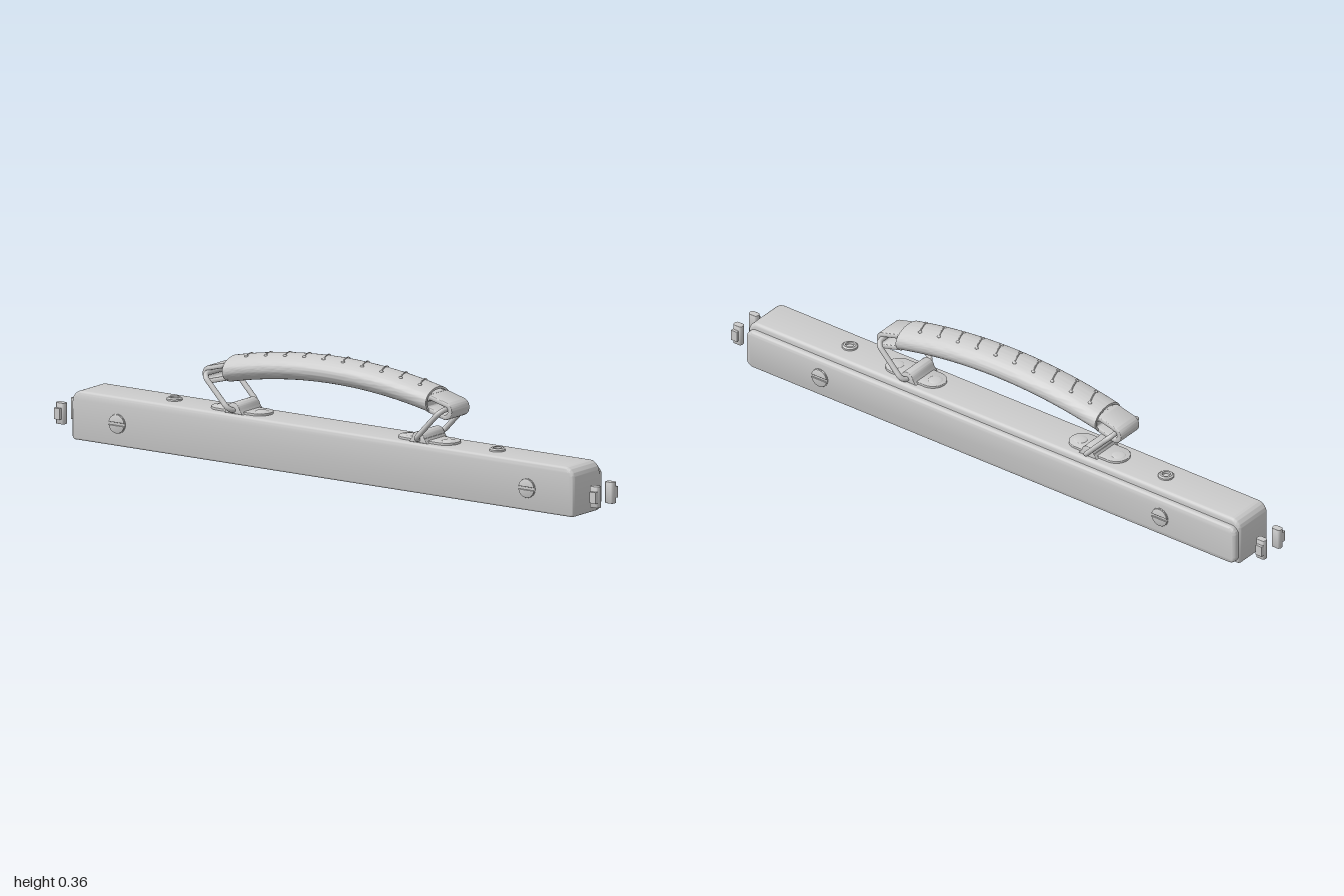
import * as THREE from 'three';
import { toCreasedNormals } from 'three/addons/utils/BufferGeometryUtils.js';

const mat = new THREE.MeshStandardMaterial({ color: 0xcccccc, side: THREE.DoubleSide });

function add(parent, name, geo, x = 0, y = 0, z = 0) {
  const m = new THREE.Mesh(geo, mat);
  m.name = name;
  m.position.set(x, y, z);
  parent.add(m);
  return m;
}

// Rounded rectangle centred on the origin, with separate top and bottom radii
function roundRect(w, h, rt, rb = rt, Type = THREE.Shape) {
  const s = new Type(), a = w / 2, b = h / 2;
  s.moveTo(-a + rb, -b).lineTo(a - rb, -b);
  s.absarc(a - rb, -b + rb, rb, -Math.PI / 2, 0);
  s.absarc(a - rt, b - rt, rt, 0, Math.PI / 2);
  s.absarc(-a + rt, b - rt, rt, Math.PI / 2, Math.PI);
  s.absarc(-a + rb, -b + rb, rb, Math.PI, Math.PI * 1.5);
  return s;
}

// Extrusion centred in depth; the bevel stays inside the given depth and outline
function slab(shape, depth, bevel = 0) {
  const geo = new THREE.ExtrudeGeometry(shape, {
    depth: depth - 2 * bevel, curveSegments: 12, bevelEnabled: bevel > 0,
    bevelThickness: bevel, bevelSize: bevel, bevelOffset: -bevel, bevelSegments: 4,
  });
  geo.translate(0, 0, bevel - depth / 2);
  return toCreasedNormals(geo, 0.6);
}

// Drop the flat underside so that the part becomes an open shell
function openBottom(geo) {
  geo.computeBoundingBox();
  const p = geo.attributes.position, limit = geo.boundingBox.min.y + 0.0005;
  const keep = [];
  for (let i = 0; i < p.count; i += 3) {
    if (Math.max(p.getY(i), p.getY(i + 1), p.getY(i + 2)) > limit) keep.push(i, i + 1, i + 2);
  }
  geo.setIndex(keep);
  return geo;
}

// Bend a part that runs along x into the arch of the handle
const archY = (x) => 0.32 - 0.3 * x * x;
function arch(geo) {
  const p = geo.attributes.position;
  for (let i = 0; i < p.count; i++) p.setY(i, p.getY(i) + archY(p.getX(i)));
  geo.computeVertexNormals();
  return toCreasedNormals(geo, 0.6);
}

// Slotted screw head facing +z
function screw() {
  const g = new THREE.Group();
  g.name = 'slottedScrew';
  add(g, 'screwBase', new THREE.CylinderGeometry(0.03, 0.03, 0.004, 32).rotateX(Math.PI / 2));
  const half = new THREE.Shape();
  half.absarc(0, 0, 0.029, 0.15, Math.PI - 0.15);
  half.closePath();
  for (const turn of [0, Math.PI]) {
    add(g, 'screwHeadHalf', slab(half, 0.008, 0.0015).rotateZ(turn), 0, 0, 0.002);
  }
  return g;
}

function createBody(root) {
  // Hollow case, open underneath
  const shell = slab(roundRect(1.85, 0.152, 0.035, 0.012), 0.14, 0.011);
  add(root, 'body', openBottom(shell), 0, 0.076, 0);
  add(root, 'backCover', slab(roundRect(1.84, 0.126, 0.025), 0.035, 0.01), 0, 0.068, -0.0705);
  for (const s of [-1, 1]) {
    const front = screw();
    front.position.set(s * 0.755, 0.07, 0.07);
    const back = screw();
    back.position.set(s * 0.64, 0.07, -0.088);
    back.rotation.y = Math.PI;
    root.add(front, back);
  }
}

// Everything that repeats at each end, built for the +x end
function createEnd() {
  const g = new THREE.Group();
  // Socketed button on the top
  const profile = [[0, 0.001], [0.013, 0.001], [0.013, 0.009], [0.019, 0.009], [0.024, 0.005], [0.024, -0.004]];
  const button = new THREE.LatheGeometry(profile.map((p) => new THREE.Vector2(...p)), 28);
  add(g, 'topButton', toCreasedNormals(button, 0.5), 0.595, 0.152, 0);

  // Slim rail with end pins inside the case
  add(g, 'innerRail', slab(roundRect(0.34, 0.02, 0.0099), 0.008).rotateX(Math.PI / 2), 0.66, 0.04, 0);
  for (const s of [-1, 1]) {
    add(g, 'railPin', new THREE.CylinderGeometry(0.012, 0.012, 0.016, 20), 0.66 + s * 0.165, 0.04, 0);
  }

  // Handle mount: plate, rivets and the saddle around the ring
  add(g, 'mountPlate', slab(roundRect(0.21, 0.085, 0.042), 0.01, 0.002).rotateX(-Math.PI / 2), 0.345, 0.154, 0);
  for (const s of [-1, 1]) {
    const rivet = new THREE.SphereGeometry(0.022, 24, 8, 0, Math.PI * 2, 0, Math.PI / 2).scale(1, 0.2, 1);
    add(g, 'rivet', rivet, 0.345 + s * 0.072, 0.158, 0);
  }
  const saddle = new THREE.Shape();
  saddle.moveTo(0.034, -0.008);
  saddle.lineTo(0.024, 0.006);
  saddle.absarc(0, 0.003, 0.023, 0.15, Math.PI - 0.15);
  saddle.lineTo(-0.034, -0.008);
  add(g, 'ringSaddle', slab(saddle, 0.106, 0.002), 0.34, 0.16, 0);

  // Rectangular wire ring leaning outwards
  const lower = new THREE.Vector2(0.34, 0.163), upper = new THREE.Vector2(0.437, 0.264);
  const len = lower.distanceTo(upper);
  const pts = roundRect(0.145, len, 0.022).getSpacedPoints(64).slice(0, -1);
  const loop = new THREE.CatmullRomCurve3(pts.map((p) => {
    const t = p.y / len + 0.5;
    return new THREE.Vector3(THREE.MathUtils.lerp(lower.x, upper.x, t), THREE.MathUtils.lerp(lower.y, upper.y, t), p.x);
  }), true);
  add(g, 'wireRing', new THREE.TubeGeometry(loop, 96, 0.0082, 12, true));

  // Strap end folded around the ring
  const fold = roundRect(0.11, 0.054, 0.0269);
  fold.holes.push(roundRect(0.078, 0.024, 0.0119, 0.0119, THREE.Path));
  add(g, 'strapLoop', slab(fold, 0.092, 0.003), 0.406, 0.266, 0).rotation.z = -0.26;

  // Detached end clips
  for (const s of [-1, 1]) {
    const clip = new THREE.Group();
    clip.name = 'endClip';
    add(clip, 'clipBar', slab(roundRect(0.032, 0.022, 0.008), 0.065, 0.001).rotateX(Math.PI / 2));
    add(clip, 'clipTab', new THREE.BoxGeometry(0.022, 0.034, 0.012), 0.003, 0, s * 0.014);
    clip.position.set(0.984, 0.068, s * 0.038);
    g.add(clip);
  }
  return g;
}

function createHandle(root) {
  // Padded sleeve, hollow at the ends
  const oval = new THREE.Shape().absellipse(0, 0, 0.0625, 0.04, 0, Math.PI * 2);
  oval.holes.push(new THREE.Path().absellipse(0, 0, 0.055, 0.033, 0, Math.PI * 2));
  const sleeve = new THREE.ExtrudeGeometry(oval, { depth: 0.75, steps: 40, bevelEnabled: false, curveSegments: 32 });
  sleeve.translate(0, 0, -0.375).rotateY(Math.PI / 2);
  add(root, 'handleSleeve', arch(sleeve));
  add(root, 'innerStrap', arch(new THREE.BoxGeometry(0.74, 0.04, 0.09, 40, 1, 1)));

  // Slanted threads over the top of the sleeve, with a knot at each end
  for (let i = 0; i < 10; i++) {
    const pts = [-2, -1, 0, 1, 2].map((k) => {
      const x = (i - 4.5) * 0.071 + k * 0.005, a = k * 0.23;
      return new THREE.Vector3(x, archY(x) + 0.04 * Math.cos(a), 0.0625 * Math.sin(a));
    });
    add(root, 'stitch', new THREE.TubeGeometry(new THREE.CatmullRomCurve3(pts), 12, 0.002, 6));
    for (const p of [pts[0], pts[4]]) {
      add(root, 'stitchKnot', new THREE.SphereGeometry(0.005, 10, 8).scale(1.3, 0.8, 1), p.x, p.y, p.z);
    }
  }
}

export function createModel() {
  const model = new THREE.Group();
  const root = new THREE.Group();
  root.name = 'carryCase';
  root.position.z = 0.007;
  model.add(root);
  createBody(root);
  createHandle(root);
  const left = createEnd(), right = createEnd();
  left.name = 'leftEnd';
  right.name = 'rightEnd';
  right.rotation.y = Math.PI;
  root.add(left, right);
  return model;
}
